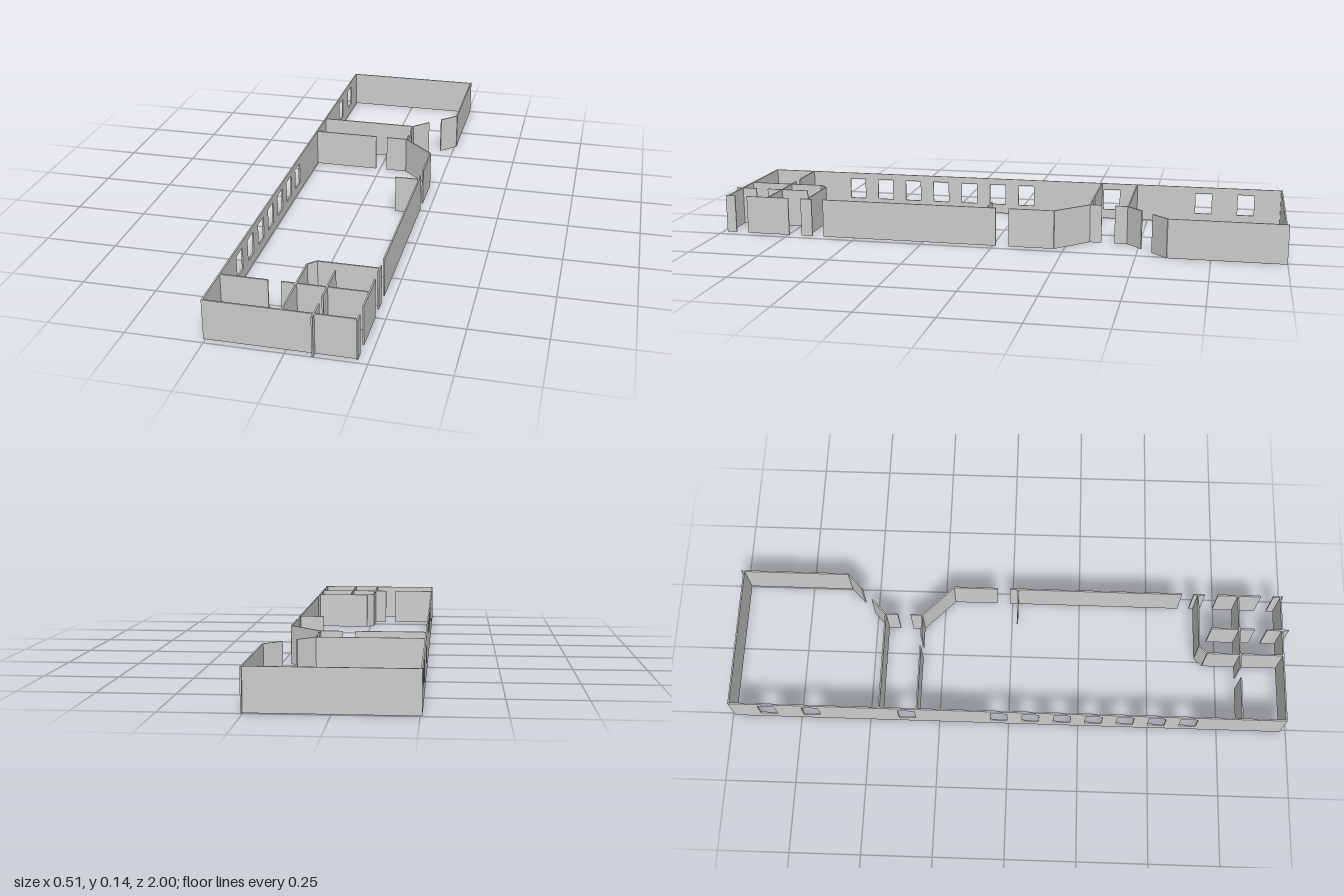
import * as THREE from 'three';

const H = 0.135; // wall height
const T = 0.005; // wall thickness
const LEFT = -0.254, RIGHT = 0.215, FRONT = 0.977, BACK = -0.99;

export function createModel() {
  const model = new THREE.Group();
  model.name = 'floorPlan';
  const mat = new THREE.MeshStandardMaterial({ color: 0xcccccc, flatShading: true, side: THREE.DoubleSide });

  // Upright wall between two plan points (x, z)
  function wall(name, x1, z1, x2, z2) {
    const dx = x2 - x1, dz = z2 - z1;
    const mesh = new THREE.Mesh(new THREE.BoxGeometry(Math.hypot(dx, dz), H, T), mat);
    mesh.position.set((x1 + x2) / 2, H / 2, (z1 + z2) / 2);
    mesh.rotation.y = -Math.atan2(dz, dx);
    mesh.name = name;
    model.add(mesh);
  }

  // Several collinear pieces along z, leaving door gaps between them
  const run = (name, x, spans) => spans.forEach(([a, b]) => wall(name, x, a, x, b));

  // Long wall with window openings, drawn in (z, y) and extruded along x
  const shape = new THREE.Shape();
  shape.moveTo(BACK, 0).lineTo(FRONT, 0).lineTo(FRONT, H).lineTo(BACK, H).closePath();
  const windows = [-0.862, -0.707, -0.364];
  for (let i = 0; i < 7; i++) windows.push(-0.035 + i * 0.1125);
  for (const c of windows) {
    const hole = new THREE.Path(), w = 0.03;
    hole.moveTo(c - w, 0.035).lineTo(c - w, 0.112).lineTo(c + w, 0.112).lineTo(c + w, 0.035).closePath();
    shape.holes.push(hole);
  }
  const geo = new THREE.ExtrudeGeometry(shape, { depth: T, bevelEnabled: false });
  geo.rotateY(-Math.PI / 2);
  const windowWall = new THREE.Mesh(geo, mat);
  windowWall.position.x = LEFT + T / 2;
  windowWall.name = 'windowWall';
  model.add(windowWall);

  // Outer end walls
  wall('frontWall', LEFT - T / 2, FRONT, RIGHT, FRONT);
  wall('backWall', LEFT - T / 2, BACK, 0.255, BACK);

  // Back room
  wall('backRoomSideWall', 0.255, -1, 0.255, -0.605);
  wall('backRoomAngledWall', 0.255, -0.605, 0.2, -0.551);
  wall('backRoomAngledWall', 0.158, -0.511, 0.103, -0.458);
  wall('backRoomDivider', LEFT, -0.458, 0.103, -0.458);

  // Corridor
  run('corridorEndWall', 0.103, [[-0.458, -0.413], [-0.367, -0.325]]);
  wall('corridorDivider', LEFT, -0.325, -0.016, -0.325);
  wall('corridorDivider', 0.026, -0.325, 0.103, -0.325);

  // Main hall
  wall('hallAngledWall', 0.103, -0.325, RIGHT, -0.215);
  run('sideWall', RIGHT, [[-0.215, -0.057], [-0.011, 0.618], [0.66, 0.701], [0.748, 0.905], [0.95, 0.985]]);
  wall('hallStubWall', 0.13, 0.02, RIGHT, 0.02);

  // Small front rooms
  wall('smallRoomBackWall', 0.016, 0.677, RIGHT, 0.677);
  wall('smallRoomCornerWall', 0.016, 0.677, -0.011, 0.704);
  wall('smallRoomSideWall', -0.011, 0.704, -0.011, FRONT);
  wall('crossWall', LEFT, 0.823, -0.099, 0.823);
  wall('crossWall', -0.058, 0.823, RIGHT, 0.823);
  run('smallRoomDivider', 0.085, [[0.722, 0.878], [0.922, 1]]);

  return model;
}
